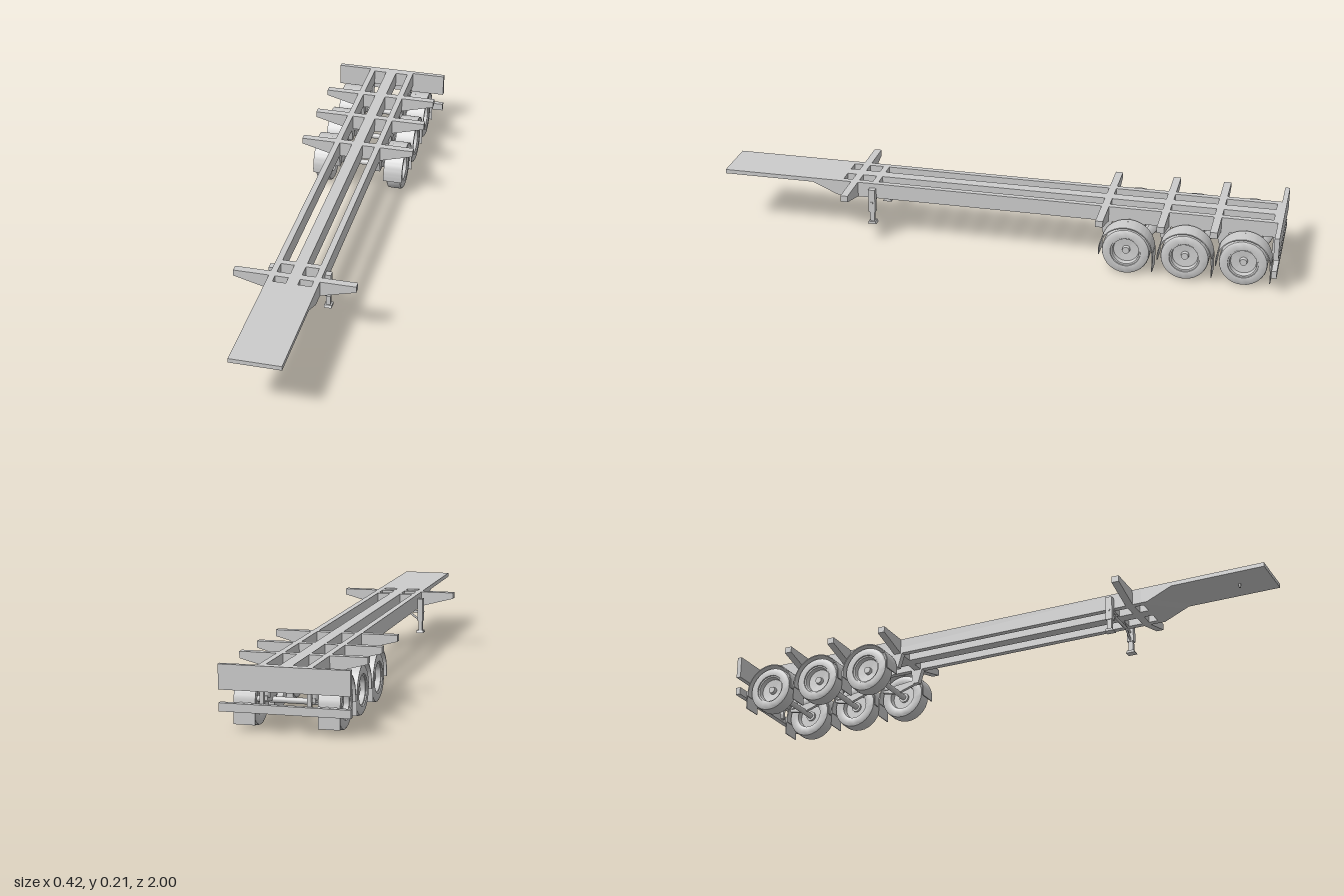
import * as THREE from 'three';
import { toCreasedNormals } from 'three/addons/utils/BufferGeometryUtils.js';

const mat = new THREE.MeshStandardMaterial({ color: 0xcccccc });
const TOP = 0.212, BASE = 0.157, HALF = 0.087;
const AXLES = [-0.476, -0.68, -0.88];
const AXLE_Y = 0.083;

function add(parent, name, geo) {
  const mesh = new THREE.Mesh(geo, mat);
  mesh.name = name;
  parent.add(mesh);
  return mesh;
}

// Box given by its limits on each axis
function box(parent, name, x0, x1, y0, y1, z0, z1) {
  const g = new THREE.BoxGeometry(Math.abs(x1 - x0), y1 - y0, z1 - z0);
  g.translate((x0 + x1) / 2, (y0 + y1) / 2, (z0 + z1) / 2);
  return add(parent, name, g);
}

// Shape drawn in (z, y) and extruded across x from x0 to x1
function sideProfile(parent, name, shape, x0, x1) {
  const g = new THREE.ExtrudeGeometry(shape, { depth: x1 - x0, bevelEnabled: false, curveSegments: 20 });
  g.rotateY(-Math.PI / 2);
  g.translate(x1, 0, 0);
  return add(parent, name, toCreasedNormals(g, 0.5));
}

// Shape drawn in (x, y) and extruded along z around a centre
function crossProfile(parent, name, shape, z, depth) {
  const g = new THREE.ExtrudeGeometry(shape, { depth, bevelEnabled: false });
  g.translate(0, 0, z - depth / 2);
  return add(parent, name, g);
}

const polygon = pts => new THREE.Shape(pts.map(p => new THREE.Vector2(...p)));

// Round bar between two points
function rod(parent, name, a, b, r, sides = 12) {
  const p = new THREE.Vector3(...a), q = new THREE.Vector3(...b);
  const d = q.clone().sub(p);
  const m = add(parent, name, new THREE.CylinderGeometry(r, r, d.length(), sides));
  m.position.copy(p).add(q).multiplyScalar(0.5);
  m.quaternion.setFromUnitVectors(new THREE.Vector3(0, 1, 0), d.normalize());
  return m;
}

function buildFrame(root) {
  const frame = new THREE.Group();
  frame.name = 'frame';
  root.add(frame);
  // Long rails
  for (const [x0, x1] of [[-HALF, -0.066], [-0.02, 0.02], [0.066, HALF]])
    box(frame, 'longRail', x0, x1, BASE, TOP, -0.985, 0.56);
  // Front coupling plate sloping down to the rails
  sideProfile(frame, 'gooseneck', polygon([
    [0.56, BASE], [0.58, BASE], [0.67, 0.197], [1, 0.197], [1, TOP], [0.56, TOP]]), -HALF, HALF);
  rod(frame, 'kingpin', [0, 0.183, 0.885], [0, 0.198, 0.885], 0.004);
  // Tapered outriggers
  const wing = polygon([[-0.21, 0.19], [-HALF, BASE], [HALF, BASE], [0.21, 0.19], [0.21, TOP], [-0.21, TOP]]);
  for (const z of [0.515, -0.39, -0.6, -0.78]) crossProfile(frame, 'outrigger', wing, z, 0.026);
  box(frame, 'crossMember', -HALF, HALF, BASE, TOP, 0.43, 0.452);
  box(frame, 'rearCrossMember', -HALF, HALF, BASE, TOP, -0.985, -0.968);
}

function buildRear(root) {
  const rear = new THREE.Group();
  rear.name = 'rearBumper';
  root.add(rear);
  box(rear, 'rearPanel', -0.21, 0.21, 0.132, TOP, -1, -0.983);
  box(rear, 'underrunBar', -0.21, 0.21, 0.063, 0.09, -0.998, -0.98);
  for (const s of [-1, 1]) box(rear, 'bumperUpright', s * 0.069, s * 0.082, 0.07, BASE, -0.984, -0.97);
}

function buildLandingGear(root) {
  const gear = new THREE.Group();
  gear.name = 'landingGear';
  root.add(gear);
  for (const s of [-1, 1]) {
    box(gear, 'legHousing', s * HALF, s * 0.107, 0.11, 0.195, 0.435, 0.459);
    box(gear, 'innerLeg', s * 0.09, s * 0.104, 0.074, 0.112, 0.439, 0.455);
    const foot = polygon([[0.431, 0.065], [0.463, 0.065], [0.459, 0.074], [0.435, 0.074]]);
    sideProfile(gear, 'foot', foot, s * 0.097 - 0.013, s * 0.097 + 0.013);
    rod(gear, 'diagonalBrace', [s * 0.09, 0.115, 0.447], [s * 0.03, 0.158, 0.447], 0.004, 8);
  }
  rod(gear, 'crossShaft', [-0.11, 0.145, 0.447], [0.11, 0.145, 0.447], 0.005, 8);
}

function wheelGeometry() {
  // Half section [radius, distance from inner face]
  const section = [
    [0, 0.014], [0.018, 0.014], [0.018, 0.022], [0.045, 0.022], [0.048, 0.003], [0.053, 0],
    [0.074, 0], [0.081, 0.004], [0.083, 0.01], [0.083, 0.048], [0.081, 0.054], [0.074, 0.058],
    [0.053, 0.058], [0.052, 0.054], [0.047, 0.053], [0.044, 0.036], [0.014, 0.033], [0.012, 0.046], [0, 0.046]];
  const g = new THREE.LatheGeometry(section.map(p => new THREE.Vector2(...p)), 28);
  g.rotateZ(-Math.PI / 2);
  return toCreasedNormals(g, 0.6);
}

// Thin arch with short straight ends
function fenderShape(z) {
  const R = 0.094, r = 0.0905, low = 0.068;
  const s = new THREE.Shape();
  s.moveTo(z + R, low);
  s.lineTo(z + R, AXLE_Y);
  s.absarc(z, AXLE_Y, R, 0, Math.PI, false);
  s.lineTo(z - R, low);
  s.lineTo(z - r, low);
  s.lineTo(z - r, AXLE_Y);
  s.absarc(z, AXLE_Y, r, Math.PI, 0, true);
  s.lineTo(z + r, low);
  return s;
}

function buildAxles(root) {
  const tyre = wheelGeometry();
  for (const z of AXLES) {
    const axle = new THREE.Group();
    axle.name = 'axleAssembly';
    root.add(axle);
    rod(axle, 'axle', [-0.125, AXLE_Y, z], [0.125, AXLE_Y, z], 0.01, 16);
    for (const s of [-1, 1]) {
      const wheel = add(axle, 'wheel', tyre);
      wheel.position.set(s * 0.107, AXLE_Y, z);
      if (s < 0) wheel.rotation.y = Math.PI;
      const mid = s * 0.135;
      sideProfile(axle, 'fender', fenderShape(z), mid - 0.035, mid + 0.035);
      box(axle, 'mudFlap', mid - 0.035, mid + 0.035, 0.02, 0.09, z - 0.096, z - 0.093);
      rod(axle, 'fenderBracket', [s * 0.08, 0.168, z], [s * 0.12, 0.174, z], 0.004, 8);
      // Suspension hanger and trailing arm under the rail
      const hanger = polygon([[z + 0.06, BASE], [z + 0.068, 0.105], [z + 0.09, 0.105], [z + 0.105, BASE]]);
      sideProfile(axle, 'hanger', hanger, s * 0.0765 - 0.0105, s * 0.0765 + 0.0105);
      const arm = polygon([[z - 0.06, 0.092], [z - 0.06, 0.106], [z + 0.08, 0.121], [z + 0.08, 0.107], [z, 0.08]]);
      sideProfile(axle, 'trailingArm', arm, s * 0.0765 - 0.006, s * 0.0765 + 0.006);
      rod(axle, 'airSpring', [s * 0.0765, 0.1, z - 0.045], [s * 0.0765, BASE, z - 0.045], 0.012, 14);
    }
  }
}

export function createModel() {
  const root = new THREE.Group();
  root.name = 'flatTrailerChassis';
  buildFrame(root);
  buildRear(root);
  buildLandingGear(root);
  buildAxles(root);
  return root;
}
